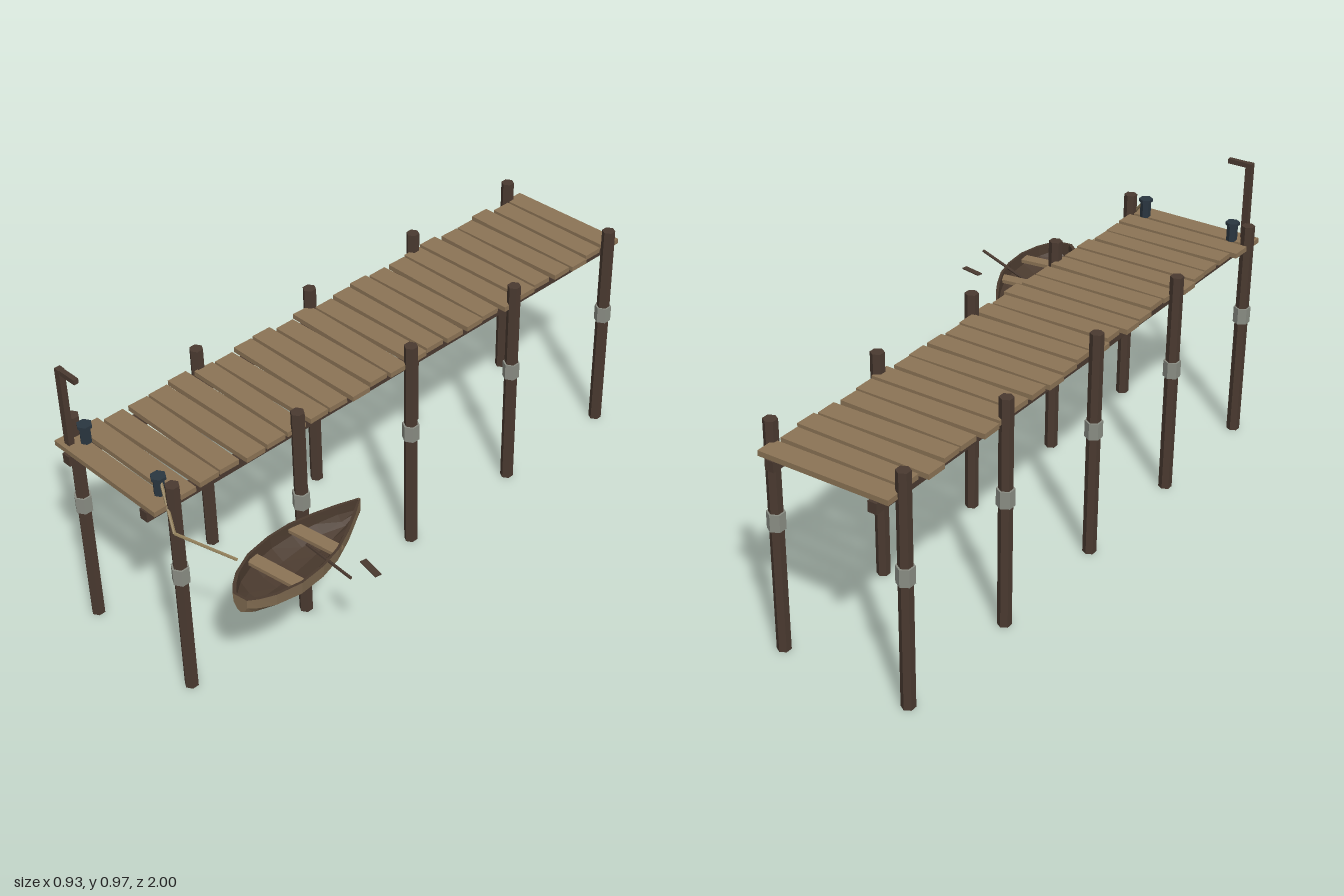
import * as THREE from 'three';

const mat = (name, color, extra = {}) => {
  const m = new THREE.MeshStandardMaterial({ color, ...extra });
  m.name = name;
  return m;
};

export function createModel() {
  const plankWood = mat('plank wood', 0x8b7355, { flatShading: true });
  const darkWood = mat('dark wood', 0x4a3a30, { flatShading: true });
  const bandGrey = mat('band grey', 0x8a8d84, { flatShading: true });
  const ironBlue = mat('iron blue', 0x2a3640, { flatShading: true });
  const ropeTan = mat('rope tan', 0x8f7d58, { flatShading: true });
  const hullWood = mat('hull wood', 0x7f6a50, { flatShading: true, side: THREE.DoubleSide });
  const innerWood = mat('inner hull wood', 0x4a3a2e, { flatShading: true, side: THREE.DoubleSide });

  const model = new THREE.Group();
  model.name = 'dockWithBoat';

  const add = (parent, name, geometry, material, x = 0, y = 0, z = 0) => {
    const mesh = new THREE.Mesh(geometry, material);
    mesh.name = name;
    mesh.position.set(x, y, z);
    parent.add(mesh);
    return mesh;
  };
  const box = (w, h, d) => new THREE.BoxGeometry(w, h, d);
  const hex = (r, h) => new THREE.CylinderGeometry(r, r, h, 6);

  // Straight rod between two points
  const rod = (parent, name, a, b, r, material) => {
    const from = new THREE.Vector3(...a), to = new THREE.Vector3(...b);
    const dir = to.clone().sub(from);
    const mesh = add(parent, name, hex(r, dir.length()), material);
    mesh.position.copy(from).add(to).multiplyScalar(0.5);
    mesh.quaternion.setFromUnitVectors(new THREE.Vector3(0, 1, 0), dir.normalize());
    return mesh;
  };

  // Piles with a band round each
  for (const x of [-0.44, 0.01]) {
    for (let i = -2; i <= 2; i++) {
      const z = i * 0.465;
      add(model, 'pile', hex(0.022, 0.767), darkWood, x, 0.3835, z);
      add(model, 'pileBand', hex(0.028, 0.056), bandGrey, x, 0.443, z);
    }
  }

  // Long beams under the deck
  for (const x of [-0.39, -0.04]) add(model, 'beam', box(0.03, 0.034, 2), darkWood, x, 0.669, 0);

  // Uneven deck planks, back to front: left and right ends
  const ends = [
    [-0.435, 0.002], [-0.42, -0.005], [-0.445, 0.008], [-0.43, 0], [-0.43, -0.008], [-0.445, 0],
    [-0.437, 0.01], [-0.43, -0.005], [-0.43, 0], [-0.44, 0], [-0.43, -0.008], [-0.42, 0],
    [-0.44, 0.005], [-0.42, -0.005], [-0.44, 0.01], [-0.435, 0], [-0.42, 0], [-0.425, 0],
    [-0.445, 0], [-0.432, 0.005], [-0.43, -0.008], [-0.43, -0.005], [-0.45, 0], [-0.45, 0.005],
  ];
  const pitch = 2 / ends.length;
  ends.forEach(([left, right], i) => {
    const z = -1 + pitch * (i + 0.5);
    const plank = add(model, 'plank', box(right - left, 0.017, 0.07), plankWood, (left + right) / 2, 0.694, z);
    plank.rotation.y = 0.018 * Math.sin(i * 2.4 + 1);
  });

  // Bollards at the front end
  for (const x of [-0.382, -0.05]) {
    add(model, 'bollard', hex(0.018, 0.06), ironBlue, x, 0.73, 0.93);
    add(model, 'bollardCap', hex(0.024, 0.01), ironBlue, x, 0.761, 0.93);
  }

  // Lamp post with a short arm
  add(model, 'lampPost', box(0.022, 0.27, 0.02), darkWood, -0.409, 0.832, 0.969);
  add(model, 'lampArm', box(0.087, 0.016, 0.016), darkWood, -0.3765, 0.959, 0.969);

  // Mooring rope
  const knots = [[-0.04, 0.75, 0.93], [0.05, 0.638, 0.967], [0.17, 0.543, 0.85]];
  for (let i = 0; i < 2; i++) rod(model, 'mooringRope', knots[i], knots[i + 1], 0.005, ropeTan);

  // Rowing boat, bow towards -z, slightly turned
  const boat = new THREE.Group();
  boat.name = 'rowingBoat';
  boat.position.set(0.232, 0, 0.665);
  boat.rotation.y = 0.133;
  model.add(boat);

  // Stations: position along the boat, half width, keel height
  const stations = [
    [0, 0.003, 0.462], [0.12, 0.036, 0.447], [0.25, 0.066, 0.437], [0.4, 0.093, 0.431], [0.55, 0.104, 0.428],
    [0.72, 0.101, 0.43], [0.87, 0.076, 0.438], [0.95, 0.05, 0.447], [1, 0.026, 0.46],
  ];
  const rim = 0.517, length = 0.53;
  // Cross-section: share of half width, share of height
  const section = [[-1, 1], [-0.95, 0.5], [-0.52, 0.14], [0, 0], [0.52, 0.14], [0.95, 0.5], [1, 1]];
  const shellRows = (inset, lift) => stations.map(([t, w, keel]) => section.map(([sx, sy]) => {
    const k = keel + lift;
    return [sx * Math.max(w - inset, 0.001), k + sy * (rim - k), (t - 0.5) * (length - inset * 2)];
  }));
  const loft = (rows) => {
    const pos = [];
    for (let i = 0; i + 1 < rows.length; i++) {
      for (let j = 0; j + 1 < rows[i].length; j++) {
        const a = rows[i][j], b = rows[i][j + 1], c = rows[i + 1][j + 1], d = rows[i + 1][j];
        pos.push(...a, ...b, ...c, ...a, ...c, ...d);
      }
    }
    const g = new THREE.BufferGeometry();
    g.setAttribute('position', new THREE.Float32BufferAttribute(pos, 3));
    g.computeVertexNormals();
    return g;
  };
  const outer = shellRows(0, 0), inner = shellRows(0.008, 0.01);
  add(boat, 'hull', loft(outer), hullWood);
  add(boat, 'hullInside', loft(inner.map((row) => [...row].reverse())), innerWood);
  // Rim along both sides and across the transom
  for (const j of [0, 6]) {
    const pair = outer.map((row, i) => (j ? [inner[i][j], row[j]] : [row[j], inner[i][j]]));
    add(boat, 'gunwale', loft(pair.map((p) => [p[1], p[0]])), innerWood);
  }
  // Flat ends: each closes the section from side to side
  for (const [rows, material] of [[outer, hullWood], [inner, innerWood]]) {
    for (const end of [0, stations.length - 1]) {
      const r = rows[end];
      const half = [r.slice(0, 4), [r[6], r[5], r[4], r[3]]];
      add(boat, 'endBoard', loft(end && rows === outer ? half : half.reverse()), material);
    }
  }
  const last = stations.length - 1;
  add(boat, 'transomRim', loft([[outer[last][0], outer[last][6]], [inner[last][0], inner[last][6]]]), innerWood);

  // Seats
  add(boat, 'seat', box(0.17, 0.012, 0.042), plankWood, -0.001, 0.499, -0.062);
  add(boat, 'seat', box(0.175, 0.012, 0.042), plankWood, -0.001, 0.499, 0.112);

  // Oar shaft and blade
  rod(model, 'oarShaft', [0.215, 0.49, 0.63], [0.442, 0.535, 0.674], 0.005, darkWood);
  const blade = add(model, 'oarBlade', box(0.077, 0.004, 0.02), darkWood, 0.423, 0.499, 0.579);
  blade.rotation.y = -0.19;

  return model;
}
